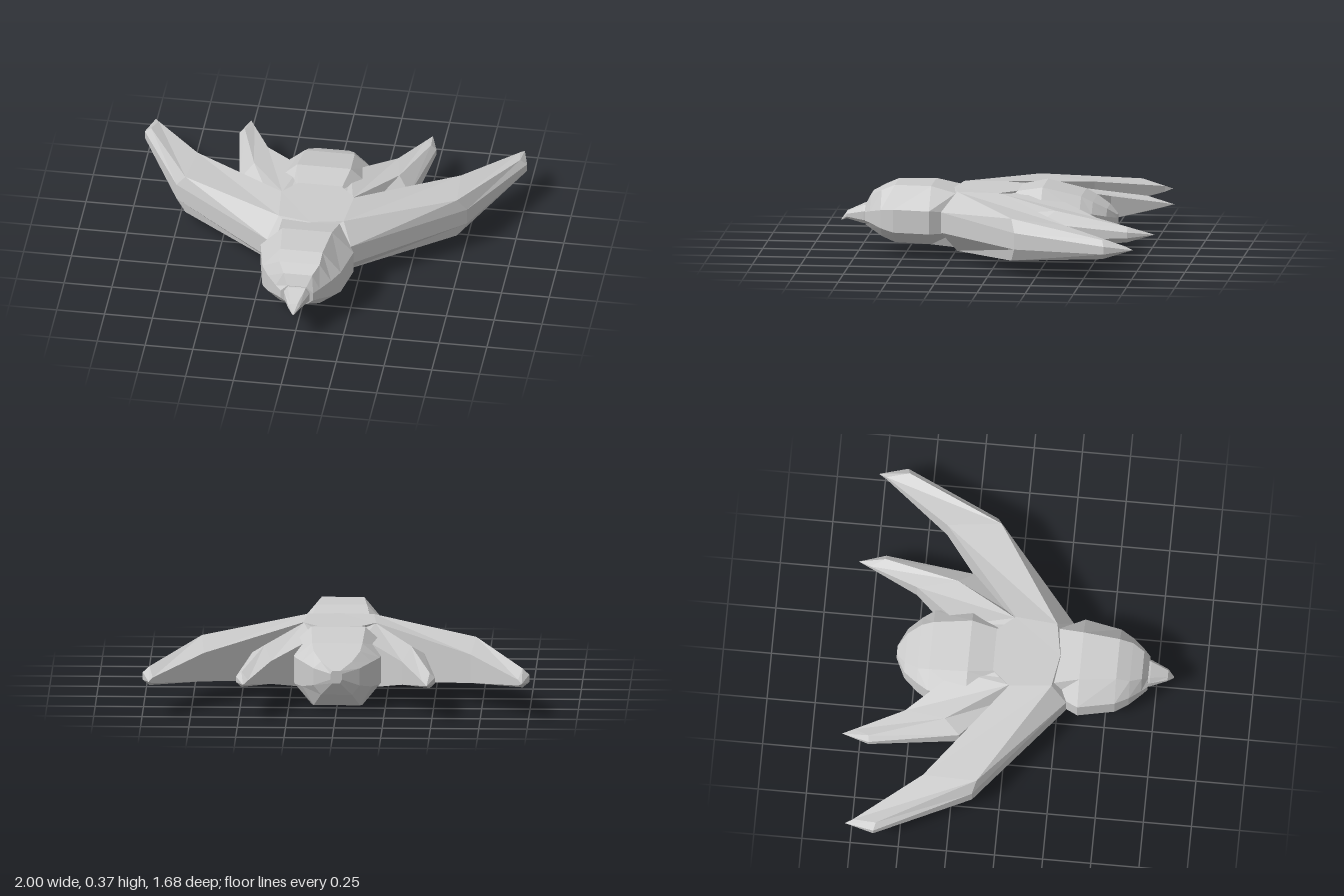
import * as THREE from 'three';

const MID = 0.19; // height of the wing plane
const material = new THREE.MeshStandardMaterial({ color: 0xcccccc, flatShading: true });

// Closed skin over a row of rings with equal point counts, capped at both ends.
function loft(name, rings) {
  const tris = [];
  const n = rings[0].length;
  for (let r = 0; r < rings.length - 1; r++) {
    const a = rings[r], b = rings[r + 1];
    for (let i = 0; i < n; i++) {
      const j = (i + 1) % n;
      tris.push([a[i], a[j], b[j]], [a[i], b[j], b[i]]);
    }
  }
  const first = rings[0], last = rings[rings.length - 1];
  for (let i = 1; i < n - 1; i++) {
    tris.push([first[0], first[i + 1], first[i]], [last[0], last[i], last[i + 1]]);
  }
  // Turn the skin outward whichever way the rings run.
  const v = (p) => new THREE.Vector3(...p);
  const volume = tris.reduce((sum, [a, b, c]) => sum + v(a).dot(v(b).cross(v(c))), 0);
  if (volume < 0) tris.forEach((t) => t.reverse());
  const geometry = new THREE.BufferGeometry();
  geometry.setAttribute('position', new THREE.Float32BufferAttribute(tris.flat(2), 3));
  geometry.computeVertexNormals();
  const mesh = new THREE.Mesh(geometry, material);
  mesh.name = name;
  return mesh;
}

// Eight-sided body section: z, flat half width, full half width, four heights.
function bodyRing([z, flat, wide, bottom, low, high, top]) {
  return [
    [flat, top, z], [wide, high, z], [wide, low, z], [flat, bottom, z],
    [-flat, bottom, z], [-wide, low, z], [-wide, high, z], [-flat, top, z],
  ];
}

// Six-sided wing section: leading edge, ridge and trailing edge, each [x, z, half height].
function wingRing(section, side) {
  const upper = section.map(([x, z, h]) => [side * x, MID + h, z]);
  const lower = section.map(([x, z, h]) => [side * x, MID - h, z]).reverse();
  return [...upper, ...lower];
}

const HEAD = [
  [0.0, 0.15, 0.18, 0.04, 0.13, 0.24, 0.34],
  [0.23, 0.15, 0.18, 0.05, 0.13, 0.24, 0.333],
  [0.36, 0.13, 0.243, 0.06, 0.13, 0.25, 0.365],
  [0.55, 0.11, 0.205, 0.065, 0.13, 0.25, 0.365],
  [0.62, 0.105, 0.165, 0.095, 0.145, 0.24, 0.335],
  [0.68, 0.075, 0.115, 0.13, 0.165, 0.225, 0.305],
  [0.71, 0.05, 0.085, 0.145, 0.17, 0.215, 0.25],
];

const BEAK = [
  [0.69, 0.05, 0.07, 0.15, 0.17, 0.22, 0.25],
  [0.72, 0.045, 0.065, 0.15, 0.17, 0.215, 0.245],
  [0.81, 0.018, 0.03, 0.17, 0.18, 0.195, 0.207],
  [0.84, 0.002, 0.004, 0.158, 0.16, 0.162, 0.164],
];

const TAIL_BODY = [
  [0.0, 0.1, 0.15, 0.04, 0.12, 0.26, 0.33],
  [-0.22, 0.14, 0.25, 0.0, 0.12, 0.27, 0.37],
  [-0.42, 0.13, 0.22, 0.0, 0.11, 0.25, 0.325],
  [-0.48, 0.12, 0.18, 0.01, 0.11, 0.24, 0.295],
  [-0.55, 0.08, 0.12, 0.08, 0.13, 0.22, 0.255],
  [-0.597, 0.02, 0.03, 0.15, 0.17, 0.2, 0.215],
];

const OUTER_WING = [
  [[0, 0.31, 0.055], [0, 0.25, 0.152], [0, -0.22, 0.158]],
  [[0.22, 0.3, 0.053], [0.17, 0.22, 0.155], [0.19, 0, 0.155]],
  [[0.76, -0.14, 0.043], [0.71, -0.12, 0.11], [0.69, -0.4, 0.075]],
  [[1, -0.63, 0.02], [0.965, -0.62, 0.05], [0.945, -0.74, 0.015]],
  [[0.965, -0.78, 0], [0.965, -0.78, 0], [0.965, -0.78, 0]],
];

const INNER_WING = [
  [[0.17, 0.05, 0.06], [0.15, 0.02, 0.15], [0.05, -0.2, 0.15]],
  [[0.26, -0.06, 0.06], [0.185, 0, 0.154], [0.13, -0.28, 0.13]],
  [[0.445, -0.235, 0.045], [0.38, -0.315, 0.1], [0.34, -0.525, 0.06]],
  [[0.515, -0.7, 0.015], [0.487, -0.7, 0.04], [0.45, -0.78, 0.012]],
  [[0.475, -0.84, 0], [0.475, -0.84, 0], [0.475, -0.84, 0]],
];

export function createModel() {
  const model = new THREE.Group();
  model.name = 'birdShip';
  model.add(
    loft('head', HEAD.map(bodyRing)),
    loft('beak', BEAK.map(bodyRing)),
    loft('tailBody', TAIL_BODY.map(bodyRing)),
  );
  // Mirrored pairs of swept wings
  for (const [side, label] of [[1, 'left'], [-1, 'right']]) {
    model.add(
      loft(label + 'OuterWing', OUTER_WING.map((s) => wingRing(s, side))),
      loft(label + 'InnerWing', INNER_WING.map((s) => wingRing(s, side))),
    );
  }
  return model;
}
